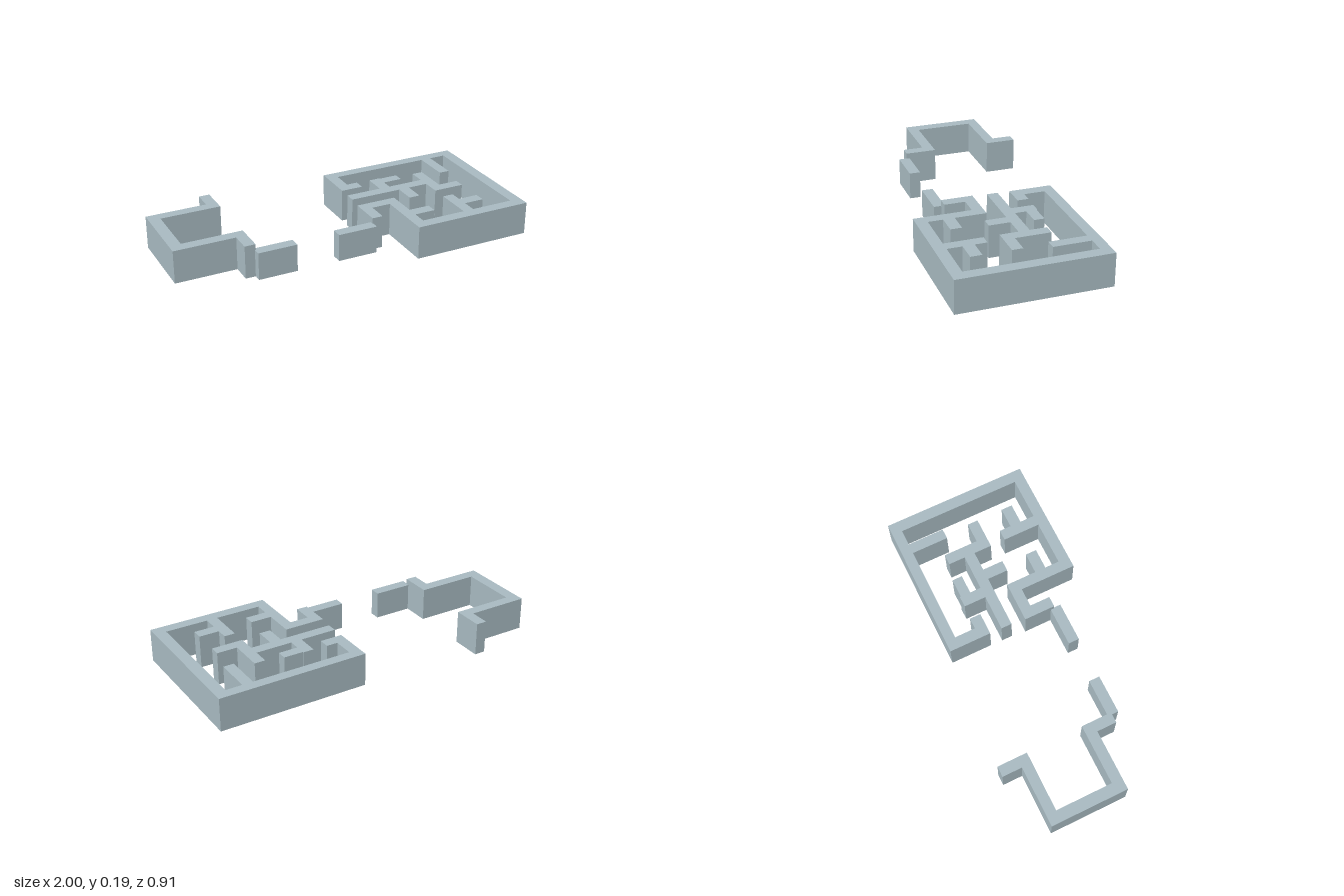
import * as THREE from 'three';

const WALL = 0.193, LOW = 0.16;

// Extrude a plan outline of [x, z] points upward from the ground.
function wall(name, points, height, material) {
  const shape = new THREE.Shape(points.map(([x, z]) => new THREE.Vector2(x, -z)));
  const geometry = new THREE.ExtrudeGeometry(shape, { depth: height, bevelEnabled: false });
  geometry.rotateX(-Math.PI / 2);
  const mesh = new THREE.Mesh(geometry, material);
  mesh.name = name;
  return mesh;
}

const rect = (x0, x1, z0, z1) => [[x0, z0], [x1, z0], [x1, z1], [x0, z1]];

export function createModel() {
  const model = new THREE.Group();
  model.name = 'wallLayout';
  const stone = new THREE.MeshStandardMaterial({ color: 0xa8bac1 });
  stone.name = 'blue grey';

  // Three-sided enclosure with end posts
  const enclosure = [
    [-1, -0.34], [-0.643, -0.34], [-0.643, -0.457], [-0.58, -0.457], [-0.58, -0.28],
    [-0.933, -0.28], [-0.933, 0.055], [-0.58, 0.055], [-0.58, 0.235], [-0.643, 0.235],
    [-0.643, 0.118], [-1, 0.118],
  ];

  // Perimeter of the main building with its attached partitions
  const perimeter = [
    [0.132, -0.407], [1, -0.407], [1, 0.45], [0.295, 0.45], [0.295, 0.118],
    [0.183, 0.118], [0.183, 0.238], [0.12, 0.238], [0.12, 0.055], [0.357, 0.055],
    [0.357, 0.235], [0.48, 0.235], [0.48, 0.3], [0.357, 0.3], [0.357, 0.385],
    [0.62, 0.385], [0.62, 0.166], [0.683, 0.166], [0.683, 0.235], [0.802, 0.235],
    [0.802, 0.3], [0.683, 0.3], [0.683, 0.385], [0.933, 0.385], [0.933, -0.347],
    [0.838, -0.347], [0.838, -0.13], [0.777, -0.13], [0.777, -0.347], [0.197, -0.347],
    [0.197, -0.225], [0.262, -0.225], [0.262, -0.16], [0.132, -0.16],
  ];

  // Free-standing inner partition with its branches
  const partition = [
    [0.13, -0.09], [0.343, -0.09], [0.343, -0.22], [0.407, -0.22], [0.407, -0.214],
    [0.52, -0.214], [0.52, -0.155], [0.407, -0.155], [0.407, -0.09], [0.62, -0.09],
    [0.62, -0.187], [0.683, -0.187], [0.683, 0.016], [0.802, 0.016], [0.802, 0.078],
    [0.62, 0.078], [0.62, -0.027], [0.503, -0.027], [0.503, 0.095], [0.438, 0.095],
    [0.438, -0.027], [0.13, -0.027],
  ];

  model.add(
    wall('enclosureWall', enclosure, WALL, stone),
    wall('perimeterWall', perimeter, WALL, stone),
    wall('innerPartition', partition, WALL, stone),
    // Low walls either side of the entrance gap
    wall('rightEntranceWall', rect(-0.585, -0.358, 0.217, 0.28), LOW, stone),
    wall('leftEntranceWall', rect(-0.108, 0.125, 0.217, 0.28), LOW, stone),
  );
  return model;
}
